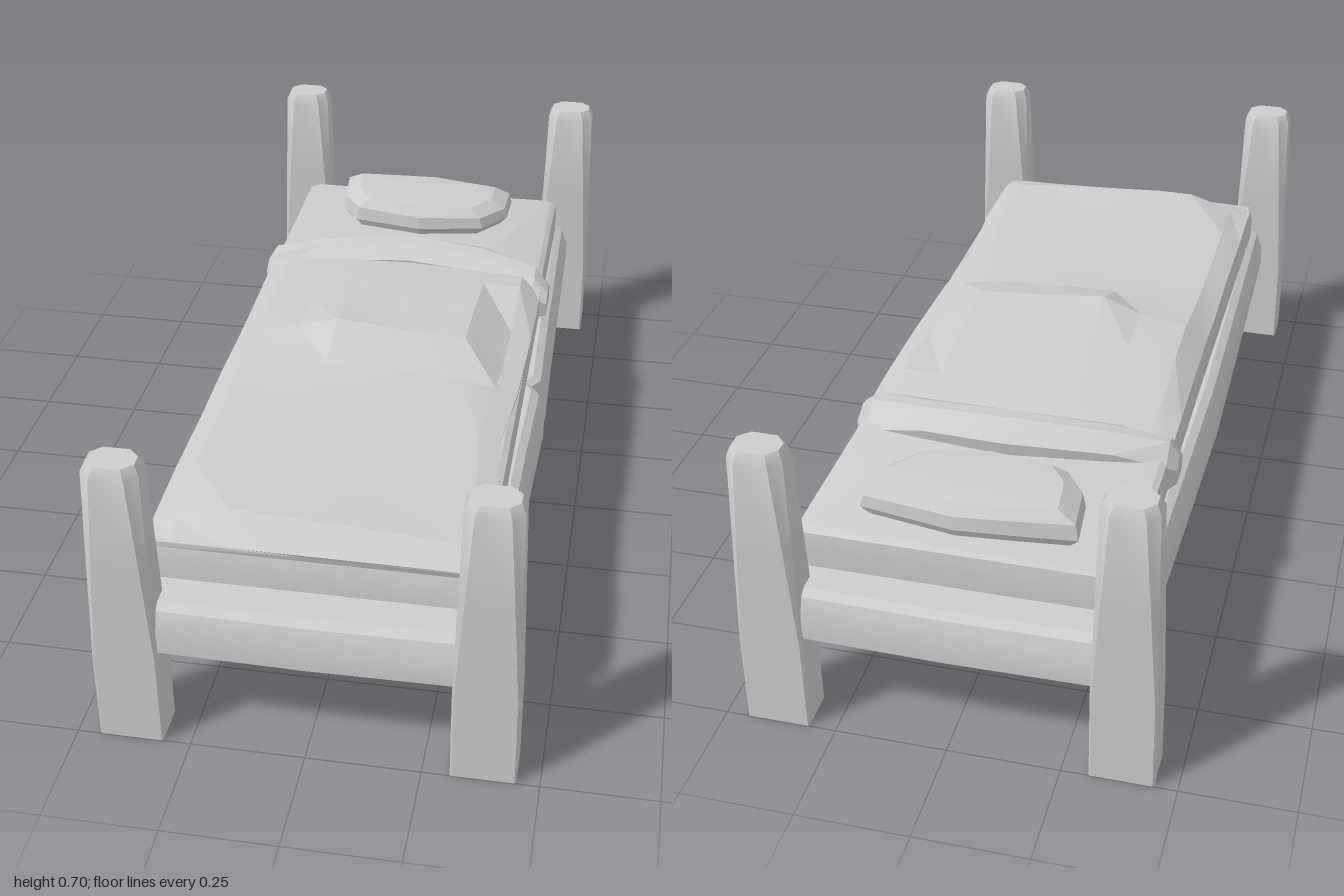
import * as THREE from 'three';
import { toCreasedNormals } from 'three/addons/utils/BufferGeometryUtils.js';

// Skins a stack of equally long rings of [x, y, z] points and caps both ends.
function loft(rings, crease = 0.5) {
  const n = rings[0].length;
  const pos = rings.flat(2);
  const index = [];
  for (let r = 0; r < rings.length - 1; r++) {
    for (let i = 0; i < n; i++) {
      const j = (i + 1) % n;
      const a = r * n + i, b = r * n + j, c = b + n, d = a + n;
      index.push(a, d, c, a, c, b);
    }
  }
  const cap = (r, top) => {
    const centre = pos.length / 3;
    for (let k = 0; k < 3; k++) pos.push(rings[r].reduce((s, p) => s + p[k], 0) / n);
    for (let i = 0; i < n; i++) {
      const a = r * n + i, b = r * n + (i + 1) % n;
      if (top) index.push(centre, b, a);
      else index.push(centre, a, b);
    }
  };
  cap(0, false);
  cap(rings.length - 1, true);
  const g = new THREE.BufferGeometry();
  g.setAttribute('position', new THREE.Float32BufferAttribute(pos, 3));
  g.setIndex(index);
  return toCreasedNormals(g, crease);
}

// Chamfered rectangle ring at height y, half sizes hx and hz.
const rectRing = (y, hx, hz, c, cx = 0, cz = 0) => [
  [hx, -hz + c], [hx, hz - c], [hx - c, hz], [-hx + c, hz],
  [-hx, hz - c], [-hx, -hz + c], [-hx + c, -hz], [hx - c, -hz],
].map(([x, z]) => [x + cx, y, z + cz]);

export function createModel() {
  const bed = new THREE.Group();
  bed.name = 'bed';
  const grey = new THREE.MeshStandardMaterial({ color: 0xcccccc });
  grey.name = 'plainGrey';
  const add = (name, geometry) => {
    const mesh = new THREE.Mesh(geometry, grey);
    mesh.name = name;
    bed.add(mesh);
    return mesh;
  };

  // Tapered corner posts with softened tops
  const post = loft([
    rectRing(0, 0.07, 0.0475, 0.003),
    rectRing(0.22, 0.07, 0.0475, 0.004),
    rectRing(0.45, 0.065, 0.0475, 0.014),
    rectRing(0.675, 0.06, 0.0475, 0.024),
    rectRing(0.697, 0.05, 0.036, 0.022),
  ], 0.6);
  for (const [sx, side] of [[1, 'Left'], [-1, 'Right']]) {
    for (const [sz, end] of [[1, 'front'], [-1, 'back']]) {
      add(`${end}${side}Post`, post).position.set(sx * 0.38, 0, sz * 0.9525);
    }
  }

  // Bed frame: bevelled timber swelling at mid length, split on its left rail
  const outline = [
    [0.408, -0.04], [0.388, -0.01], [0.41, 0.03], [0.402, 0.3], [0.392, 0.93],
    [0.34, 0.985], [0, 0.99], [-0.34, 0.985], [-0.392, 0.93], [-0.405, 0.3], [-0.41, 0],
    [-0.405, -0.3], [-0.392, -0.93], [-0.34, -0.985], [0, -0.99], [0.34, -0.985],
    [0.392, -0.93], [0.402, -0.3],
  ];
  const frameRing = (y, inset, swell) => outline.map(([x, z]) => [
    x * (1 - inset / 0.4), y + swell * (1 - Math.abs(z)), z * (1 - inset / 0.99),
  ]);
  add('bedFrame', loft([
    frameRing(0.222, 0.018, -0.012),
    frameRing(0.235, 0, -0.008),
    frameRing(0.288, 0, 0.004),
    frameRing(0.333, 0.016, 0.012),
    frameRing(0.345, 0.035, 0.012),
  ], 0.35));

  // Mattress
  add('mattress', loft([
    rectRing(0.335, 0.36, 0.877, 0.012, -0.002, -0.003),
    rectRing(0.395, 0.362, 0.877, 0.014, -0.002, -0.005),
    rectRing(0.43, 0.358, 0.87, 0.014, -0.002, -0.008),
    rectRing(0.44, 0.345, 0.855, 0.014, -0.002, -0.01),
  ], 0.6));

  // Rumpled blanket: [z, left edge x, right edge x, heights across the bed]
  const across = [0, 0.07, 0.23, 0.36, 0.55, 0.8, 0.93, 1];
  const blanketRows = [
    [-0.42, -0.362, 0.358, 0.44, 0.452, 0.46, 0.46, 0.46, 0.455, 0.45, 0.44],
    [-0.28, -0.362, 0.362, 0.44, 0.462, 0.475, 0.48, 0.48, 0.478, 0.476, 0.44],
    [-0.08, -0.36, 0.36, 0.44, 0.478, 0.495, 0.508, 0.512, 0.512, 0.458, 0.442],
    [0.065, -0.36, 0.356, 0.44, 0.486, 0.505, 0.54, 0.526, 0.515, 0.453, 0.442],
    [0.19, -0.362, 0.352, 0.44, 0.474, 0.482, 0.488, 0.486, 0.478, 0.46, 0.442],
    [0.38, -0.36, 0.335, 0.44, 0.462, 0.466, 0.468, 0.464, 0.464, 0.458, 0.442],
    [0.62, -0.362, 0.356, 0.44, 0.468, 0.478, 0.478, 0.472, 0.464, 0.46, 0.442],
    [0.8, -0.36, 0.355, 0.438, 0.452, 0.488, 0.486, 0.479, 0.468, 0.458, 0.442],
    [0.868, -0.352, 0.35, 0.434, 0.436, 0.438, 0.441, 0.441, 0.441, 0.44, 0.436],
  ];
  add('blanket', loft(blanketRows.map(([z, x0, x1, ...heights]) => [
    ...heights.map((y, i) => [x0 + (x1 - x0) * across[i], y, z + (i > 2 ? 0.006 : 0)]),
    [x1, 0.422, z], [x0, 0.422, z],
  ]), 0.2));

  // Turned-down blanket fold: [x, front z, back z, bottom y, top y]
  const foldSections = [
    [-0.382, -0.37, -0.44, 0.37, 0.43],
    [-0.36, -0.355, -0.46, 0.358, 0.466],
    [-0.24, -0.365, -0.49, 0.42, 0.487],
    [0, -0.38, -0.52, 0.42, 0.505],
    [0.2, -0.365, -0.5, 0.42, 0.49],
    [0.34, -0.31, -0.475, 0.358, 0.468],
    [0.378, -0.32, -0.42, 0.37, 0.43],
  ];
  add('blanketFold', loft(foldSections.map(([x, zf, zb, y0, y1]) => {
    const at = (u, v) => [x, y0 + (y1 - y0) * v, zf + (zb - zf) * u];
    return [at(0.06, 0), at(0, 0.6), at(0.3, 0.93), at(0.58, 1), at(1, 0.62), at(0.94, 0)];
  }), 0.3));

  // Faceted pillow
  const pillowOutline = [
    [0.235, -0.8], [0.232, -0.7], [0.17, -0.62], [0, -0.588], [-0.18, -0.62],
    [-0.23, -0.69], [-0.242, -0.81], [-0.1, -0.825], [0.02, -0.835],
  ];
  const pillowRing = (y, s, tilt = 0) => pillowOutline.map(([x, z]) => [
    x * s, y + tilt * x, -0.715 + (z + 0.715) * s,
  ]);
  add('pillow', loft([
    pillowRing(0.435, 0.9),
    pillowRing(0.46, 1),
    pillowRing(0.492, 0.97, -0.02),
    pillowRing(0.515, 0.8, -0.02),
    pillowRing(0.521, 0.5, -0.01),
  ], 0.3));

  return bed;
}
